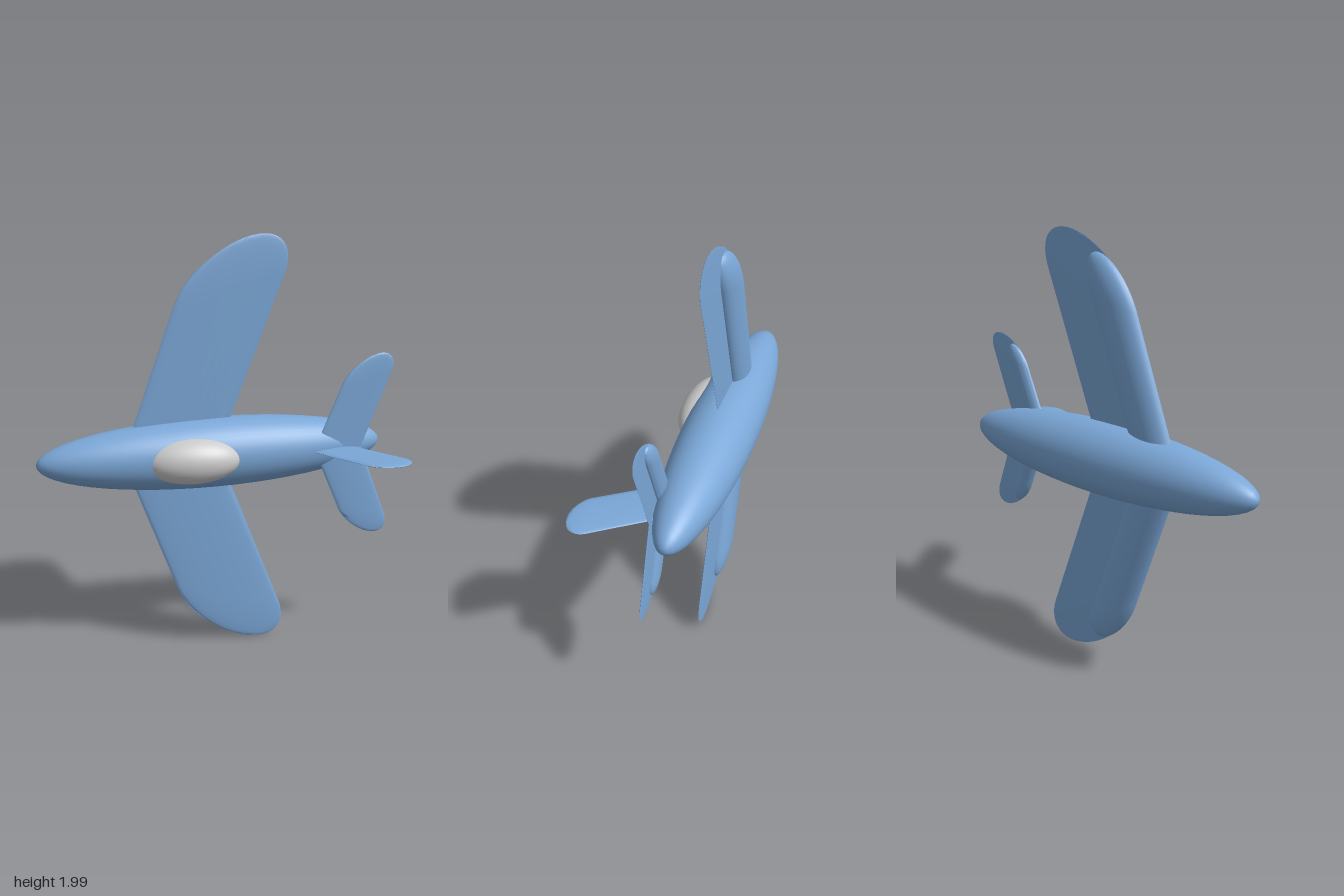
import * as THREE from 'three';
import { toCreasedNormals } from 'three/addons/utils/BufferGeometryUtils.js';

const blue = new THREE.MeshStandardMaterial({ color: 0x7ba7d7 });
const grey = new THREE.MeshStandardMaterial({ color: 0xcccccc });

function ellipsoid(name, material, radii, position) {
  const mesh = new THREE.Mesh(new THREE.SphereGeometry(1, 40, 28).rotateZ(Math.PI / 2), material);
  mesh.scale.set(...radii);
  mesh.position.set(...position);
  mesh.name = name;
  return mesh;
}

// Swept blade growing along +y: a straight loft from root to cap base, then a rounded cap.
// root: [x, y, half chord]; base: cap centre; u: half-chord vector at the cap; d: cap direction.
// front / back: depth of the section towards +z and -z.
function bladeGeometry({ root, base, u, d, front, back }) {
  const sides = 32, capSteps = 14;
  const rings = [{ c: [root[0], root[1]], u: [root[2], 0], t: 1 }];
  for (let i = 0; i <= capSteps; i++) {
    const a = (i / capSteps) * Math.PI / 2, s = Math.sin(a), k = Math.cos(a);
    rings.push({ c: [base[0] + d[0] * s, base[1] + d[1] * s], u: [u[0] * k, u[1] * k], t: k });
  }
  const positions = [], index = [];
  rings.forEach((r, i) => {
    for (let j = 0; j <= sides; j++) {
      const a = (j / sides) * Math.PI * 2, c = Math.cos(a), s = Math.sin(a);
      positions.push(r.c[0] + r.u[0] * c, r.c[1] + r.u[1] * c, s * r.t * (s > 0 ? front : back));
      if (i < rings.length - 1 && j < sides) {
        const p = i * (sides + 1) + j, q = p + sides + 1;
        index.push(p, q, p + 1, q, q + 1, p + 1);
      }
    }
  });
  const g = new THREE.BufferGeometry();
  g.setAttribute('position', new THREE.Float32BufferAttribute(positions, 3));
  g.setIndex(index);
  return toCreasedNormals(g, 0.8);
}

// Thickened leading half of a blade
function leadingHalf({ root, base, u, d }, depth) {
  return {
    root: [root[0] - root[2] / 2, root[1], root[2] / 2],
    base: [base[0] - u[0] / 2, base[1] - u[1] / 2],
    u: [u[0] / 2, u[1] / 2],
    d: [d[0] * 0.79, d[1] * 0.79],
    front: 0.001, back: depth,
  };
}

// Mirrored pair of surfaces, each a thin plate with a thick leading half
function surfacePair(name, plate, depth, z) {
  const pair = new THREE.Group();
  pair.name = name + 's';
  const plateGeo = bladeGeometry(plate);
  const edgeGeo = bladeGeometry(leadingHalf(plate, depth));
  for (const side of [1, -1]) {
    const half = new THREE.Group();
    half.name = (side > 0 ? 'upper ' : 'lower ') + name;
    const plateMesh = new THREE.Mesh(plateGeo, blue);
    plateMesh.name = name + ' plate';
    const edgeMesh = new THREE.Mesh(edgeGeo, blue);
    edgeMesh.name = name + ' leading edge';
    half.add(plateMesh, edgeMesh);
    half.scale.y = side;
    half.position.set(0, 1.005, z);
    pair.add(half);
  }
  return pair;
}

export function createModel() {
  const plane = new THREE.Group();
  plane.name = 'airplane';

  // Body, nose towards -x
  plane.add(ellipsoid('fuselage', blue, [0.826, 0.165, 0.165], [-0.006, 1.005, -0.137]));

  // Cockpit bubble, tipped slightly
  const canopy = ellipsoid('canopy', grey, [0.22, 0.107, 0.105], [-0.138, 1.006, -0.022]);
  canopy.rotation.y = -0.1;
  plane.add(canopy);

  // Main wings
  plane.add(surfacePair('wing', {
    root: [-0.215, 0, 0.225], base: [0.065, 0.745], u: [0.26, 0.07], d: [0.09, 0.24],
    front: 0.014, back: 0.003,
  }, 0.053, -0.136));

  // Tailplanes
  plane.add(surfacePair('tailplane', {
    root: [0.5725, 0, 0.1175], base: [0.704, 0.325], u: [0.125, 0.034], d: [0.043, 0.118],
    front: 0.009, back: 0.002,
  }, 0.028, -0.034));

  // Tail fin, pointing towards +z
  const fin = new THREE.Mesh(bladeGeometry({
    root: [0.5, -0.1, 0.118], base: [0.708, 0.215], u: [0.108, -0.02], d: [0.045, 0.083],
    front: 0.009, back: 0.009,
  }), blue);
  fin.name = 'tail fin';
  fin.rotation.x = Math.PI / 2;
  fin.position.y = 1.003;
  plane.add(fin);

  return plane;
}
